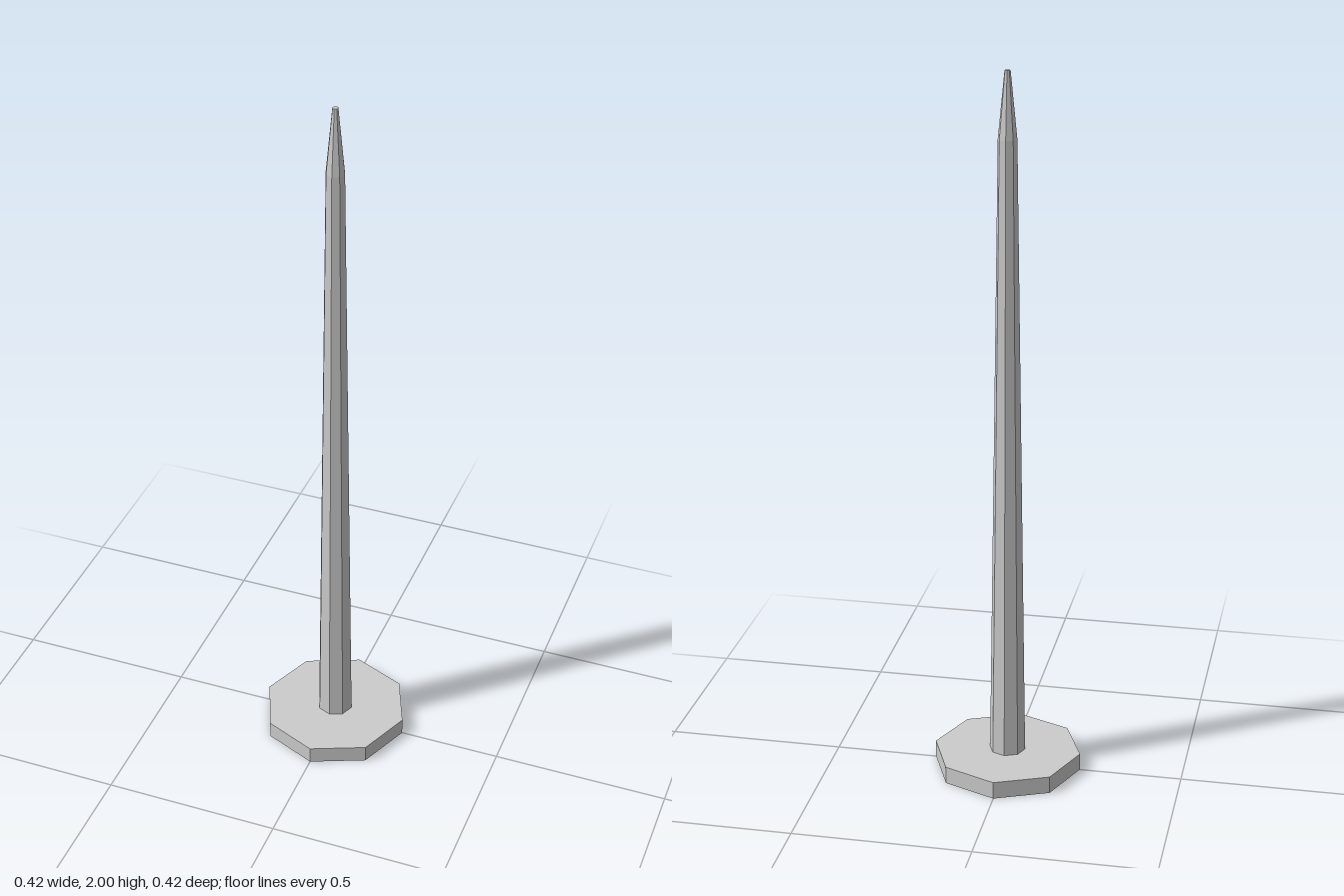
import * as THREE from 'three';

export function createModel() {
  const group = new THREE.Group();
  const metal = new THREE.MeshStandardMaterial({ color: 0xcccccc, flatShading: true });
  metal.name = 'light grey metal';

  // Eight-sided tapered section from height y0 to y1, corners on the axes
  const section = (name, r0, r1, y0, y1, open = false) => {
    const mesh = new THREE.Mesh(new THREE.CylinderGeometry(r1, r0, y1 - y0, 8, 1, open), metal);
    mesh.position.y = (y0 + y1) / 2;
    mesh.name = name;
    group.add(mesh);
  };

  // Flat head the spike stands on
  section('head', 0.21, 0.21, 0, 0.05);
  // Long, slightly tapered shank
  section('shank', 0.051, 0.026, 0.05, 1.82, true);
  // Point with a small blunt end
  section('point', 0.026, 0.008, 1.82, 2);

  return group;
}
